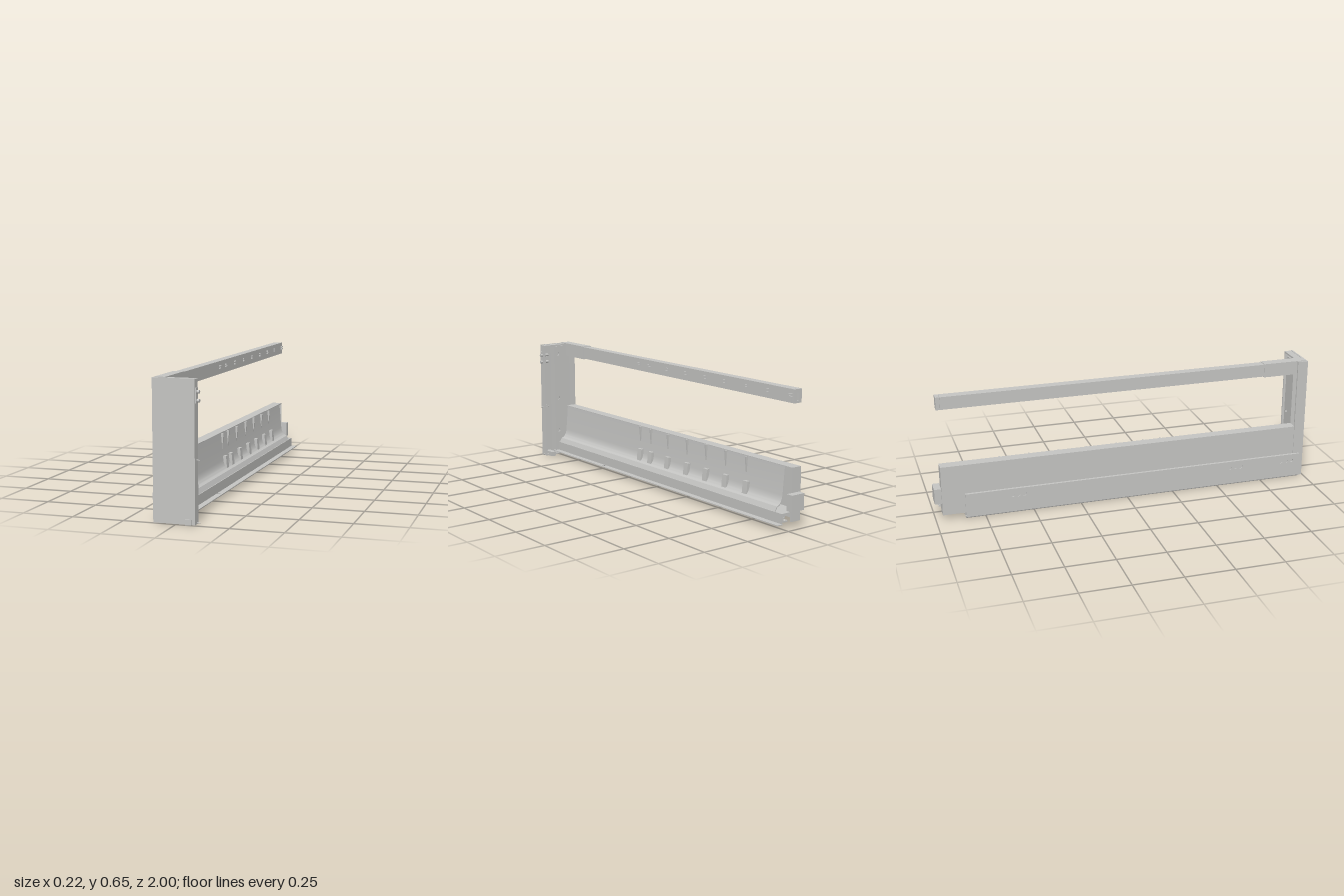
import * as THREE from 'three';
import { toCreasedNormals } from 'three/addons/utils/BufferGeometryUtils.js';

export function createModel() {
  const model = new THREE.Group();
  model.name = 'drawerSide';
  const metal = new THREE.MeshStandardMaterial({ color: 0xc4c4c2 });
  metal.name = 'light grey metal';

  function add(name, geometry) {
    const mesh = new THREE.Mesh(geometry, metal);
    mesh.name = name;
    model.add(mesh);
    return mesh;
  }
  function box(name, x0, x1, y0, y1, z0, z1) {
    const g = new THREE.BoxGeometry(x1 - x0, y1 - y0, z1 - z0);
    g.translate((x0 + x1) / 2, (y0 + y1) / 2, (z0 + z1) / 2);
    return add(name, g);
  }
  const extrude = (shape, depth) =>
    new THREE.ExtrudeGeometry(shape, { depth, bevelEnabled: false, curveSegments: 8 });
  const outline = pts => new THREE.Shape(pts.map(p => new THREE.Vector2(p[0], p[1])));
  // Rectangle with round holes given as [a, b, radius]
  function rect(a0, a1, b0, b1, holes = []) {
    const s = outline([[a0, b0], [a1, b0], [a1, b1], [a0, b1]]);
    for (const [a, b, r] of holes) {
      const p = new THREE.Path();
      p.absarc(a, b, r, 0, Math.PI * 2, true);
      s.holes.push(p);
    }
    return s;
  }
  // Bent sheet: an x/y line thickened by an offset and run along z
  function sheet(name, pts, z0, z1, dx, dy) {
    const back = pts.map(([x, y]) => [x + dx, y + dy]).reverse();
    const g = extrude(outline([...pts, ...back]), z1 - z0);
    g.translate(0, 0, z0);
    return add(name, toCreasedNormals(g, 0.6));
  }

  // Outer wall, top cap and rear closure
  box('outerWall', -0.105, -0.1, 0.03, 0.29, -0.965, 0.985);
  box('topCap', -0.1, -0.05, 0.285, 0.29, -0.965, 0.94);
  box('rearPlate', -0.1, -0.05, 0.03, 0.285, -0.965, -0.958);
  box('rearBracket', -0.095, -0.018, 0.09, 0.17, -1, -0.965);

  // Sloping inner panel with a curved foot
  const foot = new THREE.QuadraticBezierCurve(
    new THREE.Vector2(-0.038, 0.15), new THREE.Vector2(-0.032, 0.108), new THREE.Vector2(-0.004, 0.102)
  ).getPoints(8).map(p => [p.x, p.y]);
  sheet('innerPanel', [[-0.05, 0.287], ...foot, [0.008, 0.08]], -0.915, 0.93, -0.004, -0.004);

  // Base channel and its bottom flange
  sheet('baseChannel', [[-0.1, 0.08], [0.012, 0.08], [0.012, 0.03]], -0.965, 0.95, -0.004, -0.004);
  const flange = extrude(rect(0.008, 0.042, -0.97, 0.95, [[0.02, 0.455, 0.01]]), 0.004);
  flange.rotateX(Math.PI / 2).translate(0, 0.032, 0);
  add('bottomFlange', flange);

  // Fins under the cap and wedge clips along the foot
  [0.2, 0.107, -0.04, -0.2, -0.352, -0.503, -0.655].forEach(z => {
    const fin = extrude(outline([[-0.052, 0.287], [-0.044, 0.2], [-0.036, 0.287]]), 0.008);
    fin.translate(0, 0, z - 0.004);
    add('panelFin', fin);
    const clip = extrude(outline([[-0.045, 0.17], [-0.03, 0.106], [-0.018, 0.106], [-0.024, 0.17]]), 0.034);
    clip.translate(0, 0, z - 0.032);
    add('panelClip', clip);
  });

  // Runner: outer plate with three groups of screw holes, lips and inner members
  const holes = [];
  for (const z of [0.895, 0.6, -0.58]) for (const d of [-0.03, 0, 0.03]) holes.push([z + d, 0.1, 0.011]);
  const cover = extrude(rect(-0.85, 0.97, 0.01, 0.135, holes), 0.005);
  cover.rotateY(-Math.PI / 2).translate(-0.114, 0, 0);
  add('runnerPlate', cover);
  sheet('runnerFloor', [[-0.119, 0.015], [-0.113, 0.003], [-0.04, 0.003]], -0.85, 0.97, 0.004, 0.004);
  box('runnerTopLip', -0.117, -0.104, 0.131, 0.135, -0.85, 0.97);
  box('runnerTrack', -0.09, -0.075, 0.007, 0.076, -0.85, 0.94);
  box('runnerSlide', -0.06, -0.03, 0.022, 0.03, -0.93, 0.94);
  box('runnerSlideWall', -0.034, -0.03, 0.03, 0.076, -0.93, 0.94);
  box('runnerCarriage', -0.04, -0.01, 0.013, 0.026, 0.2, 0.4);
  box('runnerCarriage', -0.04, -0.015, 0.006, 0.026, -0.39, 0.06);
  box('runnerCarriage', -0.04, -0.015, 0.008, 0.026, -0.84, -0.6);
  box('runnerCatch', -0.03, 0.008, 0.016, 0.03, 0.76, 0.94);

  // Front face, hollow from behind
  box('frontPlate', -0.108, 0.09, 0.004, 0.655, 0.985, 0.994);
  box('frontSideWall', 0.083, 0.09, 0.004, 0.645, 0.95, 0.985);
  box('frontOuterWall', -0.108, -0.1, 0.004, 0.655, 0.938, 0.985);
  box('frontTop', -0.1, 0.09, 0.645, 0.653, 0.948, 0.985);
  box('frontBottom', -0.1, 0.09, 0.004, 0.012, 0.95, 0.985);

  // Vertical bracket inside the front
  const bracket = extrude(rect(-0.055, 0.03, 0.03, 0.645,
    [[0.008, 0.6, 0.009], [0.008, 0.34, 0.009], [0.008, 0.15, 0.009]]), 0.006);
  bracket.translate(0, 0, 0.938);
  add('frontBracket', bracket);
  box('frontBracketSide', 0.024, 0.03, 0.03, 0.645, 0.944, 0.985);
  box('frontBracketSide', -0.055, -0.05, 0.03, 0.645, 0.944, 0.985);

  // Fixing plate, pins and the bottom catch
  box('fixingPlate', 0.088, 0.094, 0.545, 0.615, 0.957, 0.985);
  for (const [y, r] of [[0.596, 0.008], [0.557, 0.008], [0.293, 0.002], [0.01, 0.002]]) {
    const pin = new THREE.CylinderGeometry(r, r, 0.05, 12);
    pin.rotateZ(Math.PI / 2).translate(0.081, y, 0.97);
    add('frontPin', pin);
  }
  for (const y of [0.576, 0.29]) {
    const hub = new THREE.CylinderGeometry(0.011, 0.011, 0.008, 16);
    hub.rotateX(Math.PI / 2).translate(0.058, y, 0.982);
    add('frontHub', hub);
  }
  box('bottomCatch', 0.045, 0.072, 0.003, 0.028, 0.92, 1);

  // Upper rail with sleeve and slotted rear end
  box('railSleeve', -0.099, -0.047, 0.586, 0.658, 0.75, 0.986);
  box('upperRail', -0.096, -0.05, 0.59, 0.655, -0.945, 0.75);
  const end = rect(-0.096, -0.05, 0.59, 0.655);
  end.holes.push(new THREE.Path([[-0.08, 0.6], [-0.08, 0.638], [-0.066, 0.638], [-0.066, 0.6]]
    .map(p => new THREE.Vector2(p[0], p[1]))));
  const cap = extrude(end, 0.02);
  cap.translate(0, 0, -0.966);
  add('railEnd', cap);

  // Small paired clips along the rail
  for (const z of [0.22, 0.127, -0.025, -0.18, -0.333, -0.485, -0.637, -0.79, -0.945]) {
    box('railClip', -0.05, -0.042, 0.628, 0.634, z - 0.01, z + 0.01);
    box('railClip', -0.05, -0.042, 0.616, 0.622, z - 0.01, z + 0.01);
  }
  return model;
}
